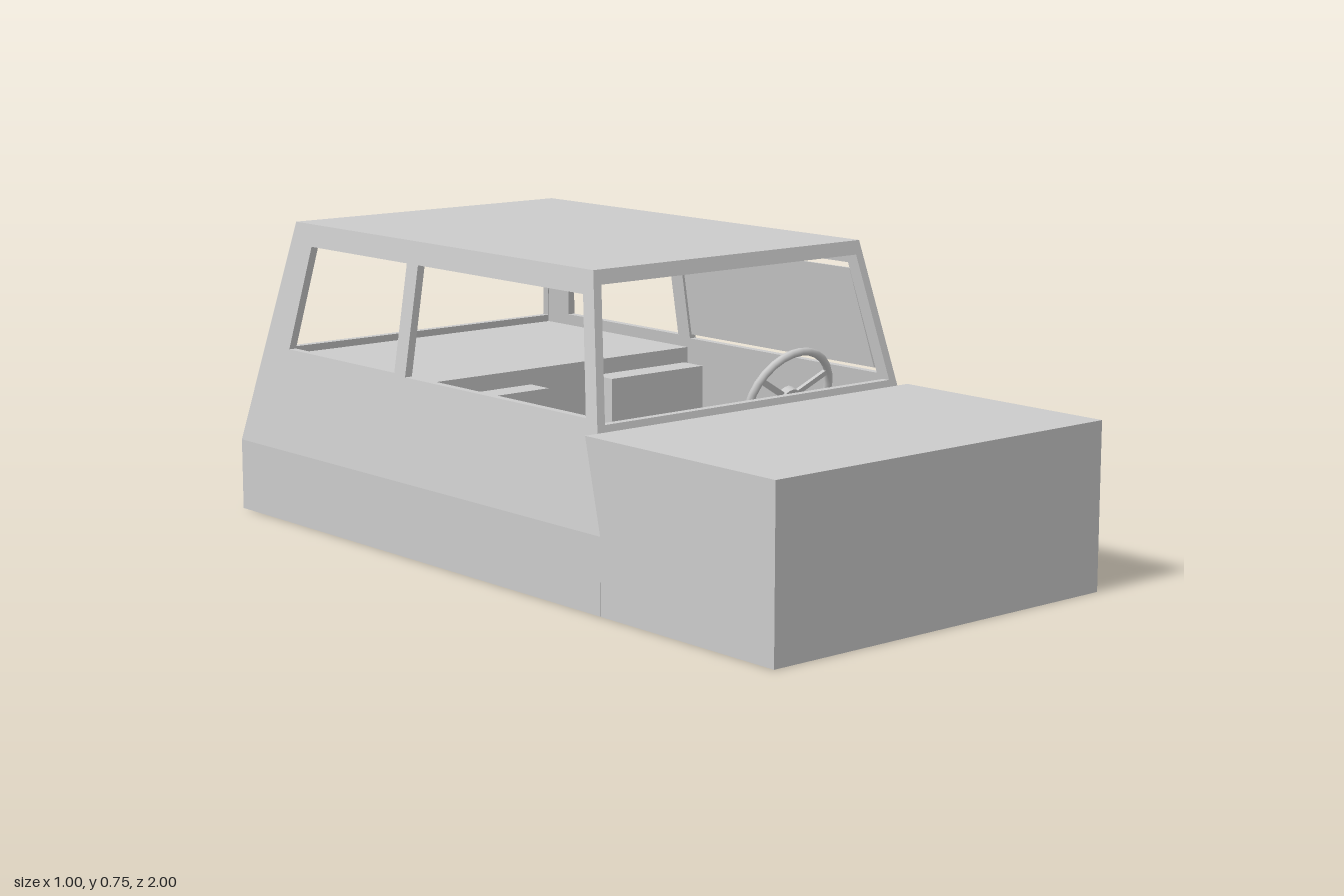
import * as THREE from 'three';

const KINK = 0.18;   // height where the body sides begin to lean in
const TOP = 0.745;   // roof height
const mat = new THREE.MeshStandardMaterial({ color: 0xcccccc, side: THREE.DoubleSide });

// distance of each outer wall from the centre, by height
const sideAt = y => 0.5 - (y - KINK) * 0.16;
const frontAt = y => 0.39 - (y - 0.4) * 0.232;
const rearAt = y => 1 - (y - KINK) * 0.239;

function add(parent, name, geometry, x = 0, y = 0, z = 0) {
  const mesh = new THREE.Mesh(geometry, mat);
  mesh.name = name;
  mesh.position.set(x, y, z);
  parent.add(mesh);
  return mesh;
}

// box given by its limits
function block(parent, name, [x0, x1], [y0, y1], [z0, z1]) {
  return add(parent, name, new THREE.BoxGeometry(x1 - x0, y1 - y0, z1 - z0),
    (x0 + x1) / 2, (y0 + y1) / 2, (z0 + z1) / 2);
}

// leaning wall with window openings, turned to face its direction
function wall(parent, name, outline, holes, lean, turn, thickness = 0.02) {
  const pts = list => list.map(([u, y]) => new THREE.Vector2(u, y));
  const shape = new THREE.Shape(pts(outline));
  holes.forEach(h => shape.holes.push(new THREE.Path(pts(h))));
  const geo = new THREE.ExtrudeGeometry(shape, { depth: thickness, bevelEnabled: false });
  const p = geo.attributes.position;
  for (let i = 0; i < p.count; i++) p.setZ(i, p.getZ(i) + lean(p.getY(i)) - thickness);
  geo.computeVertexNormals();
  const mesh = add(parent, name, geo);
  mesh.rotation.y = turn;
  return mesh;
}

// symmetric trapezoid following the lean of the sides
const trapezoid = (y0, y1, inset) => [
  [-sideAt(y0) + inset, y0], [sideAt(y0) - inset, y0],
  [sideAt(y1) - inset, y1], [-sideAt(y1) + inset, y1]];

export function createModel() {
  const car = new THREE.Group();
  car.name = 'car';

  // lower body and bonnet
  block(car, 'lowerBody', [-0.5, 0.5], [0, KINK], [-1, 0.44]);
  const profile = new THREE.Shape([[1, 0], [1, 0.397], [0.39, 0.397], [0.441, KINK], [0.441, 0]]
    .map(([z, y]) => new THREE.Vector2(-z, y)));
  const bonnet = add(car, 'bonnet',
    new THREE.ExtrudeGeometry(profile, { depth: 1, bevelEnabled: false }), -0.5);
  bonnet.rotation.y = Math.PI / 2;

  // cabin walls
  const cabin = new THREE.Group();
  cabin.name = 'cabin';
  car.add(cabin);
  wall(cabin, 'windscreenFrame', trapezoid(0.38, TOP, 0), [trapezoid(0.413, 0.712, 0.022)], frontAt, 0);
  wall(cabin, 'rearWall', trapezoid(KINK, TOP, 0), [trapezoid(0.418, 0.712, 0.022)], rearAt, Math.PI);

  const sideOutline = [[0.441, KINK], [frontAt(TOP), TOP], [-rearAt(TOP), TOP], [-1, KINK]];
  const frontWindow = [[0.345, 0.425], [0.285, 0.69], [-0.335, 0.69], [-0.335, 0.425]];
  const rearWindow = [[-0.38, 0.43], [-0.38, 0.69], [-0.785, 0.69], [-0.832, 0.43]];
  for (const s of [1, -1]) {
    const flip = list => list.map(([z, y]) => [-s * z, y]);
    wall(cabin, s > 0 ? 'leftWall' : 'rightWall', flip(sideOutline),
      [flip(frontWindow), flip(rearWindow)], sideAt, s * Math.PI / 2);
  }
  block(cabin, 'roof', [-sideAt(TOP), sideAt(TOP)], [0.715, TOP], [-rearAt(TOP), frontAt(TOP)]);

  // closed pane in the left front window
  wall(cabin, 'leftWindowPane', [[-0.33, 0.435], [-0.28, 0.675], [0.335, 0.675], [0.335, 0.435]],
    [], y => sideAt(y) - 0.007, Math.PI / 2, 0.006);

  // interior
  const interior = new THREE.Group();
  interior.name = 'interior';
  car.add(interior);
  block(interior, 'rearDeck', [-0.445, 0.445], [KINK, 0.4], [-0.925, -0.35]);
  block(interior, 'dashboard', [-0.445, 0.445], [0.27, 0.39], [0.28, 0.4]);
  block(interior, 'controlStrip', [-0.12, 0.08], [0.32, 0.37], [0.27, 0.28]);
  for (const x of [-0.09, 0.05]) {
    add(interior, 'knob', new THREE.CylinderGeometry(0.012, 0.012, 0.015, 12), x, 0.345, 0.265)
      .rotation.x = Math.PI / 2;
  }
  for (const x of [-0.25, 0.25]) {
    block(interior, 'seatCushion', [x - 0.15, x + 0.15], [KINK, 0.25], [-0.25, 0.08]);
    block(interior, 'seatBack', [x - 0.15, x + 0.15], [KINK, 0.37], [-0.31, -0.24]);
  }

  // steering wheel on its column
  const steering = new THREE.Group();
  steering.name = 'steering';
  steering.position.set(0.267, 0.365, 0.22);
  steering.rotation.x = 0.35;
  interior.add(steering);
  add(steering, 'steeringWheel', new THREE.TorusGeometry(0.127, 0.01, 8, 28));
  add(steering, 'steeringHub', new THREE.CylinderGeometry(0.03, 0.03, 0.02, 16)).rotation.x = Math.PI / 2;
  add(steering, 'steeringColumn', new THREE.CylinderGeometry(0.013, 0.013, 0.12, 10), 0, 0, 0.06)
    .rotation.x = Math.PI / 2;
  for (let i = 0; i < 3; i++) {
    const a = Math.PI / 2 + Math.PI + i * Math.PI * 2 / 3;
    const spoke = add(steering, 'steeringSpoke', new THREE.BoxGeometry(0.12, 0.015, 0.008),
      Math.cos(a) * 0.065, Math.sin(a) * 0.065, 0);
    spoke.rotation.z = a;
  }
  return car;
}
